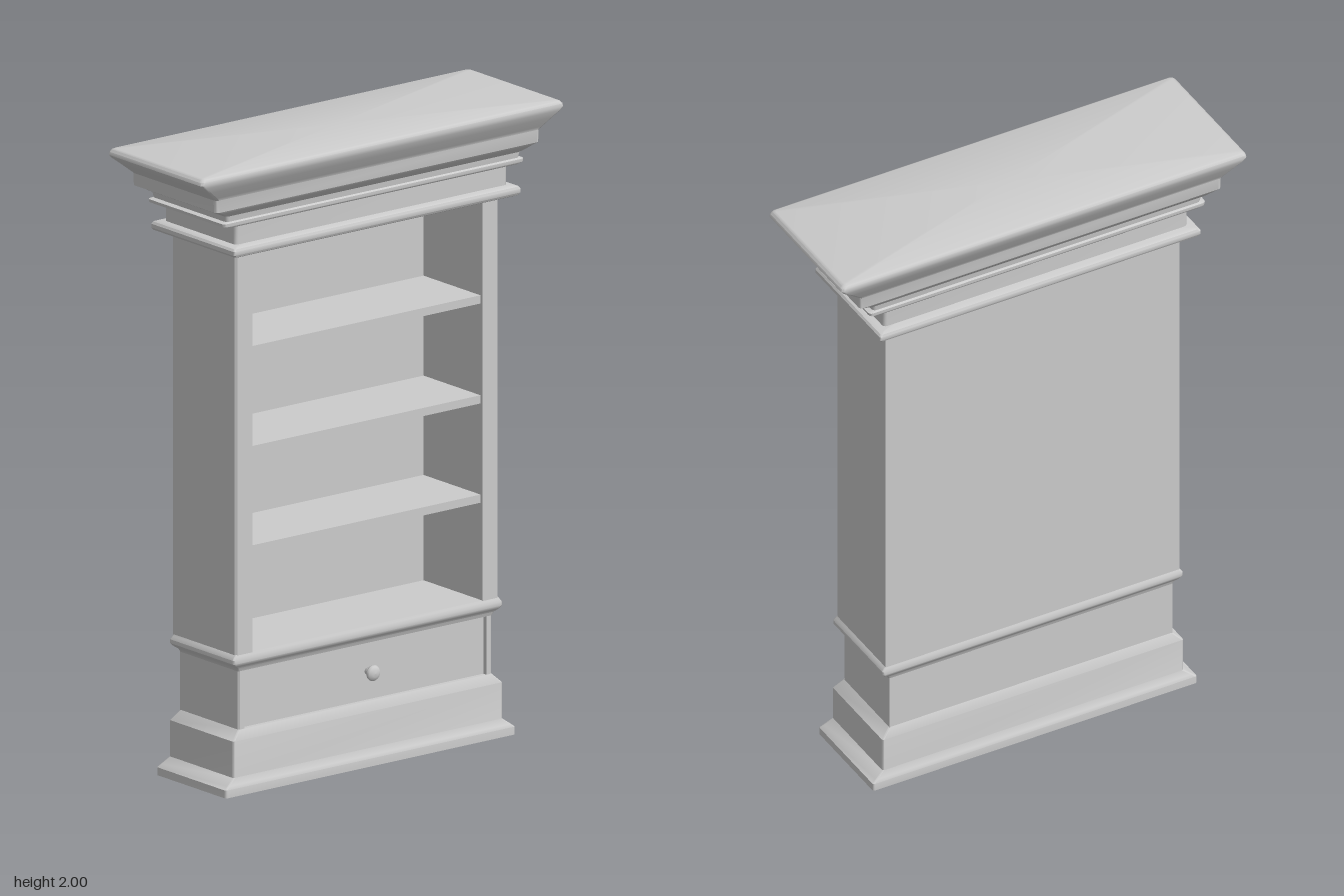
import * as THREE from 'three';
import { toCreasedNormals } from 'three/addons/utils/BufferGeometryUtils.js';

const material = new THREE.MeshStandardMaterial({ color: 0xcccccc });

function addMesh(parent, name, geometry) {
  const mesh = new THREE.Mesh(geometry, material);
  mesh.name = name;
  parent.add(mesh);
  return mesh;
}

// Rounded rectangle outline, as [x, z] pairs
function ring(hx, hz, r) {
  const points = [];
  const corners = [[1, 1], [-1, 1], [-1, -1], [1, -1]];
  corners.forEach(([sx, sz], c) => {
    for (let k = 0; k <= 3; k++) {
      const a = (c + k / 3) * Math.PI / 2;
      points.push([sx * (hx - r) + r * Math.cos(a), sz * (hz - r) + r * Math.sin(a)]);
    }
  });
  return points;
}

// Mitred moulding running round all four sides; levels are [y, half x, half z]
function moulding(levels, r = 0.006) {
  const positions = [];
  const rings = levels.map(([y, hx, hz]) => ring(hx, hz, r).map(([x, z]) => [x, y, z]));
  const n = rings[0].length;
  const last = rings.length - 1;
  const bottom = [0, levels[0][0], 0];
  const top = [0, levels[last][0], 0];
  for (let i = 0; i < n; i++) {
    const j = (i + 1) % n;
    for (let k = 0; k < last; k++) {
      const lo = rings[k], up = rings[k + 1];
      positions.push(...lo[i], ...up[i], ...lo[j], ...lo[j], ...up[i], ...up[j]);
    }
    positions.push(...bottom, ...rings[0][i], ...rings[0][j]);
    positions.push(...top, ...rings[last][j], ...rings[last][i]);
  }
  const geometry = new THREE.BufferGeometry();
  geometry.setAttribute('position', new THREE.Float32BufferAttribute(positions, 3));
  return toCreasedNormals(geometry, 0.6);
}

// Upright case with a C-shaped plan, open towards +x
function openCase(hx, hz, openHz, backX, y0, y1) {
  const b = 0.006;
  const shape = new THREE.Shape([
    [-hx, -hz], [hx - b, -hz], [hx, -hz + b], [hx, -openHz], [backX, -openHz],
    [backX, openHz], [hx, openHz], [hx, hz - b], [hx - b, hz], [-hx, hz],
  ].map(([x, z]) => new THREE.Vector2(x, z)));
  const geometry = new THREE.ExtrudeGeometry(shape, { depth: y1 - y0, bevelEnabled: false });
  return geometry.rotateX(-Math.PI / 2).translate(0, y0, 0);
}

export function createModel() {
  const model = new THREE.Group();
  model.name = 'bookcase';

  // Stepped plinth
  addMesh(model, 'plinth', moulding([
    [0, 0.169, 0.566], [0.025, 0.169, 0.566], [0.035, 0.165, 0.553], [0.055, 0.156, 0.526],
    [0.17, 0.156, 0.526], [0.2, 0.143, 0.495],
  ]));

  // Drawer section with its recessed front
  addMesh(model, 'drawerCase', openCase(0.143, 0.495, 0.473, 0.128, 0.195, 0.392));
  const profile = [[0, 0], [0.011, 0], [0.009, 0.012], [0.012, 0.02], [0.023, 0.024],
    [0.025, 0.031], [0.021, 0.037], [0.011, 0.041], [0, 0.042]];
  const knob = new THREE.LatheGeometry(profile.map(([r, h]) => new THREE.Vector2(r, h)), 24);
  addMesh(model, 'drawerKnob', knob.rotateZ(-Math.PI / 2)).position.set(0.127, 0.29, -0.02);

  // Rounded waist moulding
  addMesh(model, 'waistMoulding', moulding([
    [0.385, 0.143, 0.497], [0.396, 0.146, 0.503], [0.405, 0.153, 0.517], [0.414, 0.157, 0.525],
    [0.426, 0.157, 0.525], [0.435, 0.154, 0.519], [0.442, 0.152, 0.513],
  ]));

  // Open shelving
  addMesh(model, 'shelfCase', openCase(0.153, 0.514, 0.449, -0.133, 0.44, 1.722));
  [0.763, 1.078, 1.395].forEach((y, i) => {
    const shelf = addMesh(model, 'shelf' + (i + 1), new THREE.BoxGeometry(0.279, 0.026, 0.9));
    shelf.position.set(0.0045, y, 0);
  });

  // Rounded bead above the shelving
  addMesh(model, 'neckMoulding', moulding([
    [1.717, 0.192, 0.545], [1.721, 0.2, 0.556], [1.728, 0.204, 0.561], [1.74, 0.204, 0.561],
    [1.747, 0.2, 0.556], [1.751, 0.19, 0.545],
  ]));

  // Frieze and flared cornice
  addMesh(model, 'cornice', moulding([
    [1.748, 0.173, 0.531], [1.812, 0.173, 0.531], [1.813, 0.184, 0.572], [1.818, 0.187, 0.586],
    [1.828, 0.187, 0.588], [1.832, 0.181, 0.573], [1.85, 0.183, 0.577], [1.857, 0.191, 0.592],
    [1.868, 0.2, 0.612], [1.876, 0.205, 0.632], [1.915, 0.205, 0.633], [1.925, 0.21, 0.645],
    [1.95, 0.22, 0.675], [1.97, 0.228, 0.701], [1.98, 0.23, 0.709], [1.99, 0.229, 0.707],
    [1.997, 0.225, 0.701], [2, 0.219, 0.693],
  ], 0.012));

  return model;
}
